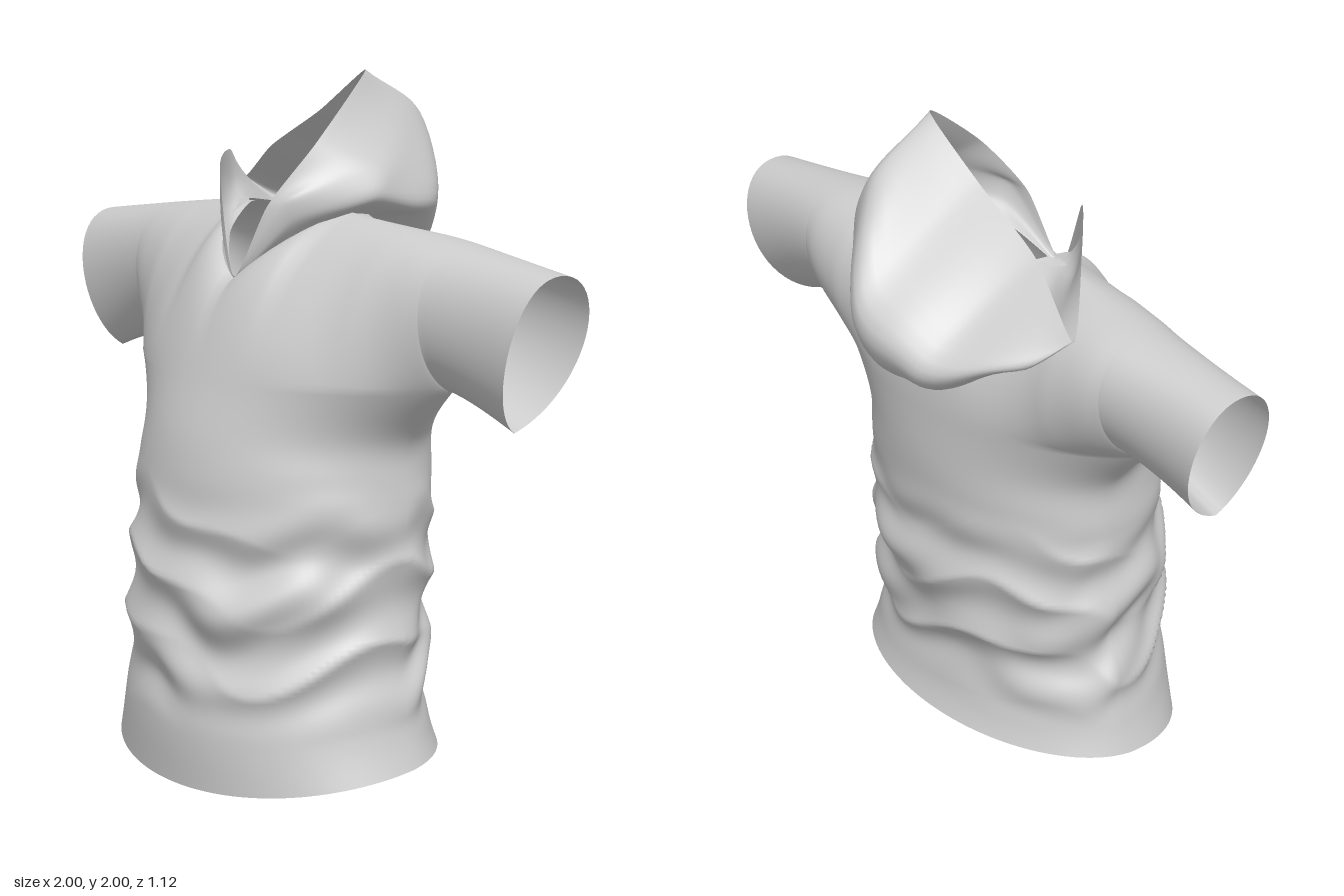
import * as THREE from 'three';
import { mergeGeometries, mergeVertices } from 'three/addons/utils/BufferGeometryUtils.js';

const { clamp, lerp, smoothstep } = THREE.MathUtils;
const V = (x, y, z) => new THREE.Vector3(x, y, z);
const Y0 = 1.17;      // armpit height, where body and yoke meet
const W0 = 0.64;      // half width at the armpit
const NECK = 0.22;    // half width of the neck opening

// Grid surface from fn(u, v) -> Vector3
function grid(nu, nv, fn, flip) {
  const pos = [], idx = [];
  for (let j = 0; j <= nv; j++)
    for (let i = 0; i <= nu; i++) pos.push(...fn(i / nu, j / nv).toArray());
  for (let j = 0; j < nv; j++) {
    for (let i = 0; i < nu; i++) {
      const a = j * (nu + 1) + i, b = a + 1, c = a + nu + 1, d = c + 1;
      if (flip) idx.push(a, d, b, a, c, d);
      else idx.push(a, b, d, a, d, c);
    }
  }
  const g = new THREE.BufferGeometry();
  g.setAttribute('position', new THREE.Float32BufferAttribute(pos, 3));
  g.setIndex(idx);
  return g;
}

function weld(list) {
  const g = mergeVertices(mergeGeometries(list), 1e-4);
  g.computeVertexNormals();
  return g;
}

// Body girth at even heights from hem to armpit: half width, front z, back z
const girth = new THREE.CatmullRomCurve3([
  V(0.595, 0.54, -0.27), V(0.53, 0.55, -0.205), V(0.5, 0.54, -0.19), V(0.485, 0.55, -0.225),
  V(0.49, 0.53, -0.235), V(0.485, 0.515, -0.24), V(0.485, 0.49, -0.255), V(W0, 0.44, -0.26),
], false, 'catmullrom');

// Depth of the body at relative height k; s is 0 at the side seam and 1 at the middle.
// The section turns from an ellipse into a pointed lens at the armpit.
function bodyZ(p, k, s, side) {
  const zs = lerp(0.1, 0.05, k);
  return zs + ((side > 0 ? p.y : p.z) - zs) * Math.pow(s, 1 + 0.5 * smoothstep(k, 0.78, 1));
}

// Bunched cloth around the waist
function folds(th, y) {
  const env = smoothstep(y, 0.17, 0.36) * (1 - smoothstep(y, 0.65, 0.92));
  const q = y + 0.05 * Math.sin(2 * th + 0.6) + 0.035 * Math.sin(5 * th + 1.9) + 0.015 * Math.sin(9 * th + 8 * y);
  const r = y - 0.07 * Math.sin(3 * th + 2) + 0.03 * Math.sin(6 * th + 6 * y);
  const mask = 0.5 + 0.5 * Math.sin(3 * th + 7 * y + 1);
  const roll = Math.sin(24 * q), pinch = 0.55 - Math.abs(Math.sin(16 * r));
  return env * (0.022 * roll * mask + 0.03 * pinch * (1.1 - mask));
}

// Lower body, th = 0 at +x and PI / 2 at the front
function bodyPoint(th, v) {
  const c = Math.cos(th), s = Math.sin(th);
  const hem = 0.1 * (1 - Math.pow((1 + s) / 2, 2.5));
  const y = lerp(Y0, hem, v), k = clamp(y / Y0, 0, 1);
  const p = girth.getPoint(k), f = folds(th, y);
  return V((p.x + f) * c, y, bodyZ(p, k, Math.abs(s), s) + f * s);
}

// Columns across the yoke: sleeve, body, sleeve
const SL = 16, BODY = 72;
const columns = [];
for (let i = 0; i < SL; i++) columns.push(lerp(-1, -W0, i / SL));
for (let i = 0; i <= BODY; i++) columns.push(-W0 * Math.cos(Math.PI * i / BODY));
for (let i = 1; i <= SL; i++) columns.push(lerp(W0, 1, i / SL));

const seam = girth.getPoint(1), belowSeam = girth.getPoint(0.97);
const across = (x, w) => Math.sqrt(Math.max(0, 1 - (x / w) ** 2));

// Front (side = 1) or back (side = -1) of the yoke with its sleeves
function yokePoint(x, v, side) {
  const ax = Math.abs(x), out = clamp((ax - W0) / (1 - W0), 0, 1);
  const yb = Y0 - 0.075 * Math.pow(out, 1.3);
  const zb = bodyZ(seam, 1, across(ax, W0), side);
  // shoulder line, cut by the neck opening in the middle
  let yt = 1.62 - 0.1 * Math.pow(Math.max(0, ax - NECK) / (1 - NECK), 1.1);
  let zt = 0.05 * (1 - smoothstep(ax, NECK, 0.7));
  if (ax < NECK) {
    const r = ax / NECK, arc = Math.pow(1 - r * r, 0.75);
    yt = side > 0 ? 1.43 + 0.19 * Math.pow(r, 1.1) : 1.62 - 0.03 * arc;
    zt = 0.05 + (side > 0 ? 0.24 : -0.19) * arc;
  }
  // profile leaves the body in its own slope and turns into a round sleeve
  const t = smoothstep(ax, 0.2, W0 - 0.03), h = yt - yb;
  const slope = (zb - bodyZ(belowSeam, 0.97, across(ax, belowSeam.x), side)) / (0.03 * Y0);
  const y1 = yb + h * lerp(0.38, 0.2, t), y2 = yt - h * lerp(0.13, 0, t);
  const zw = side * 1.33 * (0.14 + 0.06 * (1 - clamp((ax - 0.45) / 0.5, 0, 1)) ** 2);
  const z1 = lerp(zb + clamp(slope, -0.5, 0.5) * (y1 - yb), zw, t);
  const z2 = lerp(lerp(zt, zb, side > 0 ? 0.5 : 0.75), zw, t);
  const bez = (a, b, c, d) => {
    const w = 1 - v;
    return w * w * w * a + 3 * w * w * v * b + 3 * w * v * v * c + v * v * v * d;
  };
  const y = bez(yb, y1, y2, yt), z = bez(zb, z1, z2, zt);
  // slanted cuff
  const slant = 0.11 * out * Math.pow(clamp((yt - y) / h, 0, 1), 1.3);
  return V(x - Math.sign(x) * slant, y, z);
}

// Hood stations around the neck from the front V by +x: seam, two outer points, rim
const hoodStations = [
  [[0, 1.43, 0.285], [0, 1.43, 0.287], [0, 1.432, 0.289], [0, 1.435, 0.29]],
  [[0.13, 1.54, 0.2], [0.17, 1.6, 0.21], [0.17, 1.66, 0.22], [0.11, 1.64, 0.255]],
  [[0.22, 1.61, 0.05], [0.29, 1.66, 0], [0.26, 1.75, -0.03], [0.17, 1.81, 0.13]],
  [[0.2, 1.6, -0.06], [0.25, 1.62, -0.25], [0.07, 1.87, -0.35], [0.08, 2.0, -0.13]],
  [[0.07, 1.585, -0.13], [0.02, 1.4, -0.35], [-0.12, 1.64, -0.55], [-0.15, 1.87, -0.15]],
  [[-0.07, 1.585, -0.13], [-0.22, 1.39, -0.38], [-0.33, 1.52, -0.52], [-0.4, 1.75, -0.17]],
  [[-0.2, 1.6, -0.06], [-0.4, 1.5, -0.27], [-0.55, 1.54, -0.35], [-0.65, 1.63, -0.26]],
  [[-0.22, 1.61, 0.05], [-0.32, 1.61, 0.0], [-0.4, 1.65, -0.03], [-0.45, 1.74, -0.05]],
  [[-0.13, 1.54, 0.2], [-0.17, 1.6, 0.2], [-0.19, 1.66, 0.19], [-0.19, 1.72, 0.19]],
];

function hoodGeometry() {
  const rails = [0, 1, 2, 3].map((r) => new THREE.CatmullRomCurve3(
    hoodStations.map((s) => V(...s[r])), true, 'catmullrom', 0.35));
  return weld([grid(108, 24, (u, v) => {
    const pts = rails.map((c) => c.getPoint(u % 1));
    const p = new THREE.CatmullRomCurve3(pts, false, 'catmullrom').getPoint(v);
    // soft creases, fading at seam and rim
    const a = u * Math.PI * 2;
    const e = Math.sin(Math.PI * v) * Math.sin(a / 2) ** 2;
    p.y += 0.012 * e * Math.sin(9 * a + 5 * v);
    return p;
  }, true)]);
}

export function createModel() {
  const group = new THREE.Group();
  const cloth = new THREE.MeshStandardMaterial({ color: 0xcccccc, side: THREE.DoubleSide });
  const add = (name, geometry) => {
    const mesh = new THREE.Mesh(geometry, cloth);
    mesh.name = name;
    group.add(mesh);
  };

  // Shirt: yoke with sleeves and the body below, welded into one smooth skin
  const n = columns.length - 1;
  const parts = [];
  for (const side of [1, -1]) {
    parts.push(grid(n, 24, (u, v) => yokePoint(columns[Math.round(u * n)], v, side), side < 0));
    parts.push(grid(BODY, 96, (u, v) => bodyPoint(side * Math.PI * (1 - u), v), side > 0));
  }
  add('shirt', weld(parts));
  add('hood', hoodGeometry());
  return group;
}
